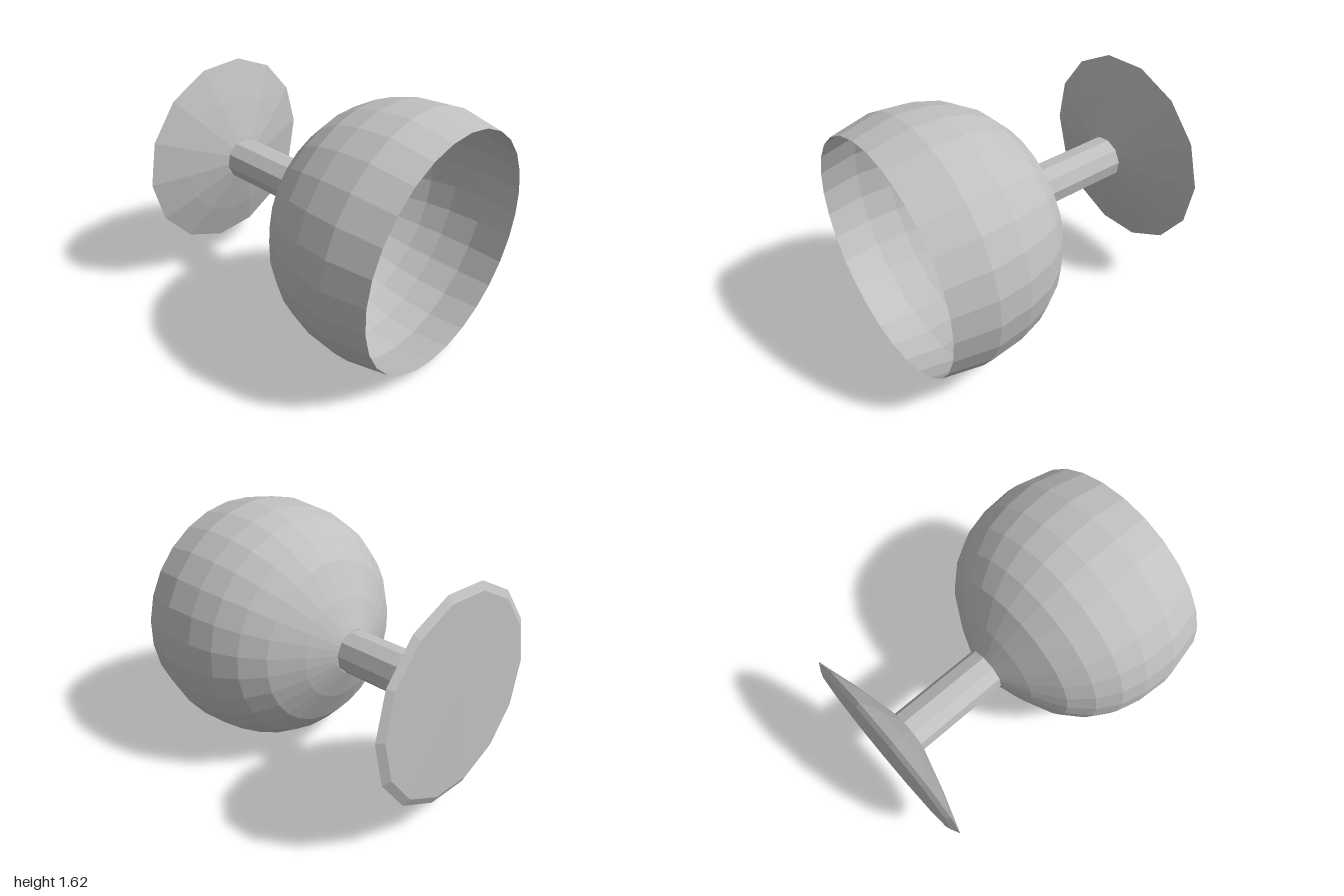
import * as THREE from 'three';

export function createModel() {
  const group = new THREE.Group();
  group.name = 'goblet';
  const grey = new THREE.MeshStandardMaterial({ color: 0xc0c0c0, flatShading: true, side: THREE.DoubleSide });
  grey.name = 'plain grey';

  // The goblet is turned about its own axis, then laid on its side
  const goblet = new THREE.Group();
  goblet.name = 'lyingGoblet';
  goblet.quaternion.setFromUnitVectors(
    new THREE.Vector3(0, 1, 0),
    new THREE.Vector3(1, -0.032, 0.044).normalize()
  );
  goblet.position.set(0, 0.84, -0.033);
  group.add(goblet);

  // Profile entries are [radius, distance along the axis]
  function turned(name, profile, sides, phase = 0) {
    const points = profile.map(([r, t]) => new THREE.Vector2(r, t));
    const mesh = new THREE.Mesh(new THREE.LatheGeometry(points, sides, phase), grey);
    mesh.name = name;
    goblet.add(mesh);
  }

  // Foot: flat underside, thin bevelled edge and shallow cone
  turned('foot', [
    [0, -0.972], [0.62, -0.97], [0.67, -0.945], [0.43, -0.865], [0.145, -0.785], [0, -0.785],
  ], 14);

  // Stem
  turned('stem', [[0.143, -0.79], [0.143, -0.15]], 10, 0.1);

  // Thin open bowl, closed where it meets the stem
  turned('bowl', [
    [0, -0.16], [0.145, -0.155], [0.335, -0.075], [0.54, 0.04], [0.665, 0.165],
    [0.75, 0.31], [0.795, 0.475], [0.812, 0.69], [0.757, 0.955],
  ], 28, Math.PI / 28);

  return group;
}
